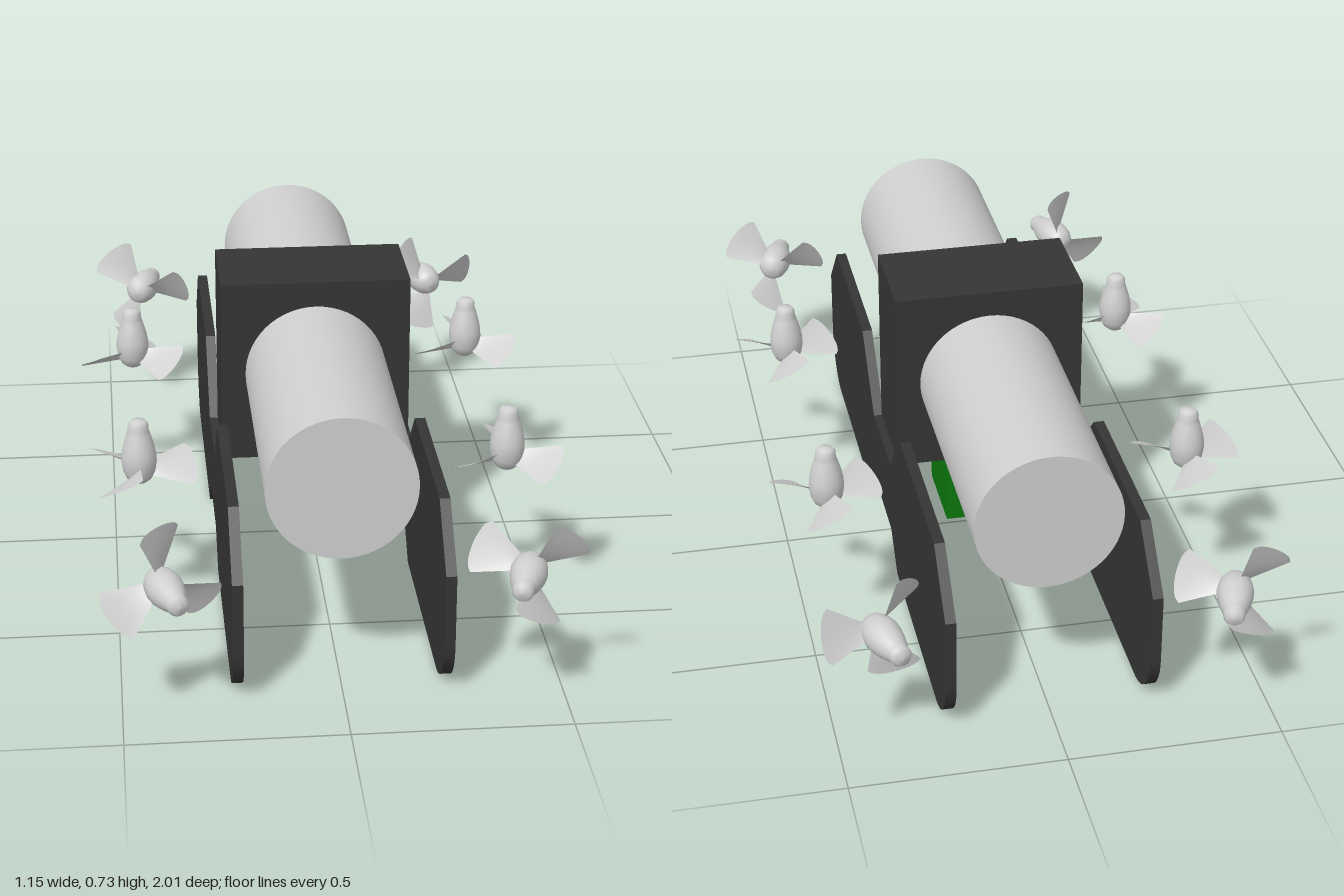
import * as THREE from 'three';

const rad = THREE.MathUtils.degToRad;

function material(name, color, side = THREE.FrontSide) {
  const m = new THREE.MeshStandardMaterial({ color, side });
  m.name = name;
  return m;
}

function addMesh(parent, name, geometry, mat, x = 0, y = 0, z = 0) {
  const mesh = new THREE.Mesh(geometry, mat);
  mesh.name = name;
  mesh.position.set(x, y, z);
  parent.add(mesh);
  return mesh;
}

// Screw-shaped blade: a sector around the y axis, one edge raised
function bladeGeometry() {
  const g = new THREE.PlaneGeometry(1, 1, 10, 6);
  const p = g.attributes.position;
  for (let i = 0; i < p.count; i++) {
    const u = p.getX(i) * 2;
    const t = p.getY(i) + 0.5;
    const r = 0.02 + t * (0.118 - 0.008 * u ** 6);
    const a = rad(25) * u;
    p.setXYZ(i, r * Math.cos(a), 0.03 * u * (0.45 + 0.55 * t), -r * Math.sin(a));
  }
  g.computeVertexNormals();
  return g;
}

// Streamlined motor hub along the y axis, narrow end up
function hubGeometry() {
  const profile = [
    [0, -0.034], [0.018, -0.032], [0.03, -0.022], [0.038, -0.005], [0.042, 0.02],
    [0.041, 0.04], [0.036, 0.065], [0.028, 0.092], [0.025, 0.1], [0.024, 0.115],
    [0.018, 0.124], [0, 0.127],
  ].map(([r, y]) => new THREE.Vector2(r, y));
  return new THREE.LatheGeometry(profile, 24);
}

// Side skid outline, drawn as (z, y) and thickened along x
function skidGeometry(thickness) {
  const s = new THREE.Shape();
  s.moveTo(0.2, 0);
  s.lineTo(0.72, 0);
  s.absarc(0.72, 0.13, 0.13, -Math.PI / 2, 0, false);
  s.lineTo(0.85, 0.302);
  s.lineTo(0.72, 0.432);
  s.lineTo(0.28, 0.432);
  s.lineTo(0.12, 0.272);
  s.lineTo(-0.12, 0.272);
  s.lineTo(-0.28, 0.432);
  s.lineTo(-0.72, 0.432);
  s.lineTo(-0.85, 0.302);
  s.lineTo(-0.85, 0.13);
  s.absarc(-0.72, 0.13, 0.13, Math.PI, Math.PI * 1.5, false);
  s.lineTo(-0.2, 0);
  s.lineTo(-0.12, 0.082);
  s.lineTo(0.12, 0.082);
  s.closePath();
  const g = new THREE.ExtrudeGeometry(s, { depth: thickness, bevelEnabled: false, curveSegments: 10 });
  g.translate(0, 0, -thickness / 2);
  g.rotateY(-Math.PI / 2);
  return g;
}

export function createModel() {
  const model = new THREE.Group();
  model.name = 'underwaterVehicle';

  const grey = material('lightGrey', 0xcfcfcf, THREE.DoubleSide);
  const dark = material('charcoal', 0x353535);
  const green = material('green', 0x0d770d);

  // Pressure hull, centre block and payload
  const hull = new THREE.CylinderGeometry(0.172, 0.172, 1.564, 56);
  hull.rotateX(Math.PI / 2);
  addMesh(model, 'hull', hull, grey, 0, 0.495, 0);
  addMesh(model, 'centreBlock', new THREE.BoxGeometry(0.46, 0.458, 0.25), dark, 0, 0.5, 0);
  addMesh(model, 'payloadBox', new THREE.BoxGeometry(0.21, 0.19, 0.21), green, 0, 0.177, 0);

  // Side skids
  const skid = skidGeometry(0.025);
  addMesh(model, 'leftSkid', skid, dark, 0.238, 0, 0);
  addMesh(model, 'rightSkid', skid, dark, -0.238, 0, 0);

  // Thrusters: hub plus three blades
  const hub = hubGeometry();
  const blade = bladeGeometry();
  function addThruster(name, x, y, z, spin) {
    const thruster = new THREE.Group();
    thruster.name = name;
    thruster.position.set(x, y, z);
    addMesh(thruster, 'hub', hub, grey);
    for (let i = 0; i < 3; i++) {
      addMesh(thruster, 'blade', blade, grey).rotation.y = rad(spin + i * 120);
    }
    model.add(thruster);
    return thruster;
  }

  for (const [side, sx] of [['Left', 1], ['Right', -1]]) {
    for (const [end, sz] of [['front', 1], ['back', -1]]) {
      // Upright thruster beside the skid
      const lift = sx < 0 && sz > 0 ? 8 : 85;
      addThruster(`${end}${side}LiftThruster`, 0.44 * sx, 0.36, 0.352 * sz, lift);

      // Corner thruster, nose outward and angled towards the centreline
      const spin = sz < 0 ? 50 : sx > 0 ? 40 : 90;
      const corner = addThruster(`${end}${side}CornerThruster`, 0.408 * sx, 0.333, 0.88 * sz, spin);
      const yaw = sz > 0 ? -18 * sx : 180 + 18 * sx;
      corner.rotation.set(Math.PI / 2, rad(yaw), 0, 'YXZ');
    }
  }
  return model;
}
